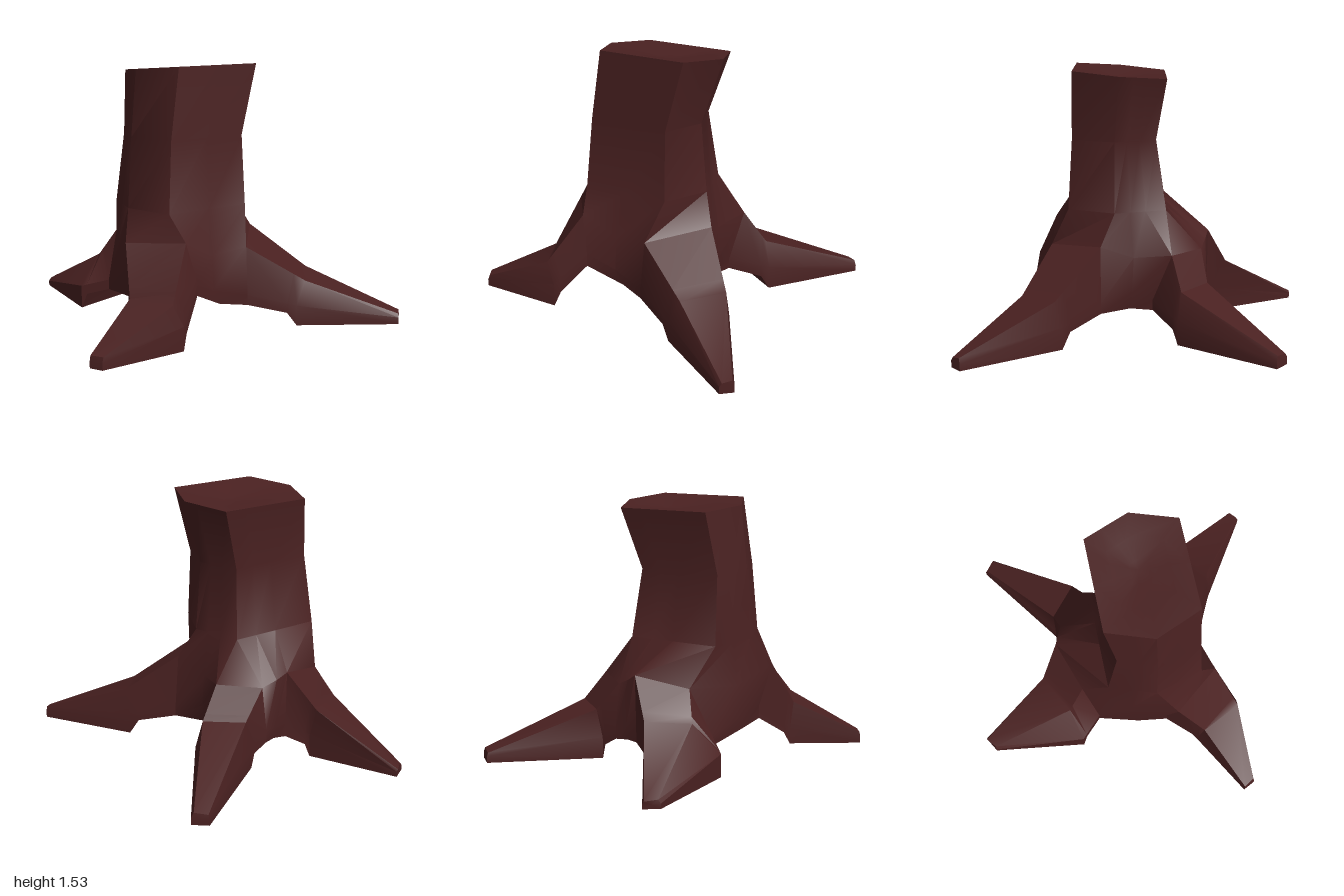
import * as THREE from 'three';
import { toCreasedNormals } from 'three/addons/utils/BufferGeometryUtils.js';

// Skin a list of rings (arrays of [x, y, z]), leaving out cells for which skip(row, column) holds.
function loft(rings, crease, closeEnd, skip = () => false) {
  const n = rings[0].length;
  const pos = rings.flat(2);
  const idx = [];
  for (let r = 0; r < rings.length - 1; r++) {
    for (let i = 0; i < n; i++) {
      if (skip(r, i)) continue;
      const a = r * n + i, b = r * n + (i + 1) % n;
      idx.push(a, b, b + n, a, b + n, a + n);
    }
  }
  const cap = (row, flip) => {
    const ring = rings[row];
    const centre = pos.length / 3;
    pos.push(...[0, 1, 2].map(k => ring.reduce((s, p) => s + p[k], 0) / n));
    for (let i = 0; i < n; i++) {
      const a = row * n + i, b = row * n + (i + 1) % n;
      idx.push(centre, flip ? b : a, flip ? a : b);
    }
  };
  cap(0, true);
  if (closeEnd) cap(rings.length - 1, false);
  const g = new THREE.BufferGeometry();
  g.setAttribute('position', new THREE.Float32BufferAttribute(pos, 3));
  g.setIndex(idx);
  return toCreasedNormals(g, crease);
}

const atHeight = ([x, , z], y) => [x, y, z];
const mix = (p, q, t) => p.map((v, k) => v + (q[k] - v) * t);

// Root section: two top corners, two side points and the underside height below each side.
const section = ([topA, topB, sideB, sideA, footB, footA]) =>
  [topA, topB, sideB, atHeight(sideB, footB), atHeight(sideA, footA), sideA];

// Each root runs from its tip over a knee to the shoulder where it joins the trunk.
const ROOTS = {
  rightRoot: [
    [[-1, 0.045, 0.31], [-0.95, 0.05, 0.37], [-0.95, 0.03, 0.385], [-1, 0.03, 0.3], 0, 0],
    [[-0.56, 0.32, 0.06], [-0.43, 0.31, 0.3], [-0.38, 0.14, 0.46], [-0.5, 0.14, 0.06], 0, 0],
    [[-0.44, 0.55, -0.07], [-0.33, 0.48, 0.23], [-0.25, 0.19, 0.34], [-0.43, 0.22, -0.07], 0.13, 0.14],
  ],
  frontLeftRoot: [
    [[0.58, 0.07, 0.96], [0.645, 0.07, 0.92], [0.65, 0.04, 0.93], [0.58, 0.04, 0.965], 0, 0],
    [[0.385, 0.265, 0.59], [0.63, 0.265, 0.47], [0.65, 0.14, 0.41], [0.36, 0.1, 0.58], 0, 0],
    [[0.22, 0.54, 0.51], [0.5, 0.56, 0.29], [0.54, 0.34, 0.24], [0.17, 0.28, 0.45], 0.26, 0.2],
  ],
  backLeftRoot: [
    [[0.98, 0.06, -0.92], [0.94, 0.07, -0.96], [0.935, 0.04, -0.97], [0.99, 0.04, -0.91], 0, 0],
    [[0.65, 0.26, -0.47], [0.45, 0.28, -0.65], [0.41, 0.13, -0.65], [0.66, 0.12, -0.4], 0, 0],
    [[0.5, 0.48, -0.14], [0.2, 0.53, -0.41], [0.2, 0.2, -0.44], [0.53, 0.2, -0.13], 0.14, 0.14],
  ],
  backRightRoot: [
    [[-0.76, 0.07, -0.93], [-0.81, 0.06, -0.87], [-0.82, 0.04, -0.87], [-0.755, 0.04, -0.945], 0, 0],
    [[-0.26, 0.3, -0.54], [-0.42, 0.3, -0.35], [-0.42, 0.13, -0.31], [-0.24, 0.14, -0.58], 0, 0],
    [[-0.21, 0.48, -0.41], [-0.39, 0.47, -0.21], [-0.43, 0.22, -0.21], [-0.1, 0.2, -0.37], 0.14, 0.14],
  ],
};

// Trunk surface in the gap after each root: upper, lower and underside points.
const GAPS = [
  [[-0.05, 0.45, 0.4], [-0.02, 0.26, 0.43], [-0.01, 0.18, 0.42]],
  [[0.46, 0.45, 0.08], [0.48, 0.25, 0.08], [0.47, 0.16, 0.03]],
  [[0.01, 0.45, -0.35], [0.02, 0.25, -0.36], [0.03, 0.14, -0.34]],
  [[-0.42, 0.51, -0.13], [-0.43, 0.22, -0.14], [-0.41, 0.14, -0.14]],
];

// Six-sided trunk rings, bottom to top, as [height, corner x/z pairs].
const TRUNK = [
  [0.71, [-0.18, 0.32], [0.1, 0.415], [0.395, 0.33], [0.395, -0.21], [0.12, -0.33], [-0.18, -0.24]],
  [1.12, [-0.12, 0.3], [0.1, 0.39], [0.37, 0.3], [0.37, -0.2], [0.12, -0.29], [-0.12, -0.2]],
  [1.5, [-0.18, 0.25], [0.09, 0.35], [0.36, 0.24], [0.36, -0.31], [0.09, -0.41], [-0.18, -0.31]],
];

// Where the root corners and gaps meet the hexagon, counted in corners around it.
const STOPS = [5.5, 0, 0.5, 1, 2, 2.5, 3, 4, 4.3, 4.6, 5, 5.25];

export function createModel() {
  const group = new THREE.Group();
  const bark = new THREE.MeshStandardMaterial({ color: 0x4a2121 });
  bark.name = 'dark bark';
  const add = (name, geometry) => {
    const mesh = new THREE.Mesh(geometry, bark);
    mesh.name = name;
    group.add(mesh);
  };

  // Flared trunk base, joining the root shoulders and the gaps between them
  const under = [], lower = [], upper = [];
  Object.values(ROOTS).forEach(([, , shoulder], i) => {
    const [topA, topB, sideB, sideA, footB, footA] = shoulder;
    const [gapTop, gapSide, gapFoot] = GAPS[i];
    upper.push(topA, topB, gapTop);
    lower.push(sideA, sideB, gapSide);
    under.push(atHeight(sideA, footA), atHeight(sideB, footB), gapFoot);
  });

  // Hollow beneath the trunk, rising towards the middle
  const hollow = under.map(p => mix(p, [0.06, 0.24, 0], 0.5));

  // Upright trunk with a tilted, slightly dished cut on top
  const cutHeight = x => 1.5 + x * 0.083;
  const shaft = TRUNK.map(([y, ...corners], row) => STOPS.map(stop => {
    const i = Math.floor(stop);
    const [x, z] = mix(corners[i], corners[(i + 1) % 6], stop - i);
    return [x, row === TRUNK.length - 1 ? cutHeight(x) : y, z];
  }));
  const rim = shaft[shaft.length - 1];
  const dish = [[0.6, 0.01], [0.2, 0.03]].map(([scale, dip]) => rim.map(([x, , z]) => {
    const px = 0.09 + (x - 0.09) * scale;
    return [px, cutHeight(px) - dip, -0.07 + (z + 0.07) * scale];
  }));
  const rootMouth = (row, column) => (row === 1 || row === 2) && column % 3 === 0;
  add('trunk', loft([hollow, under, lower, upper, ...shaft, ...dish], 0.75, true, rootMouth));

  // Spreading roots, each with a steep heel where the foot leaves the ground
  for (const [name, [tip, knee, shoulder]] of Object.entries(ROOTS)) {
    const rings = [tip, knee, shoulder].map(section);
    const heel = mix(knee.slice(0, 4).flat(), shoulder.slice(0, 4).flat(), 0.2);
    const corners = [0, 3, 6, 9].map(k => heel.slice(k, k + 3));
    rings.splice(2, 0, section([...corners, 0.09, 0.08]));
    add(name, loft(rings, 0.6, false));
  }
  return group;
}
